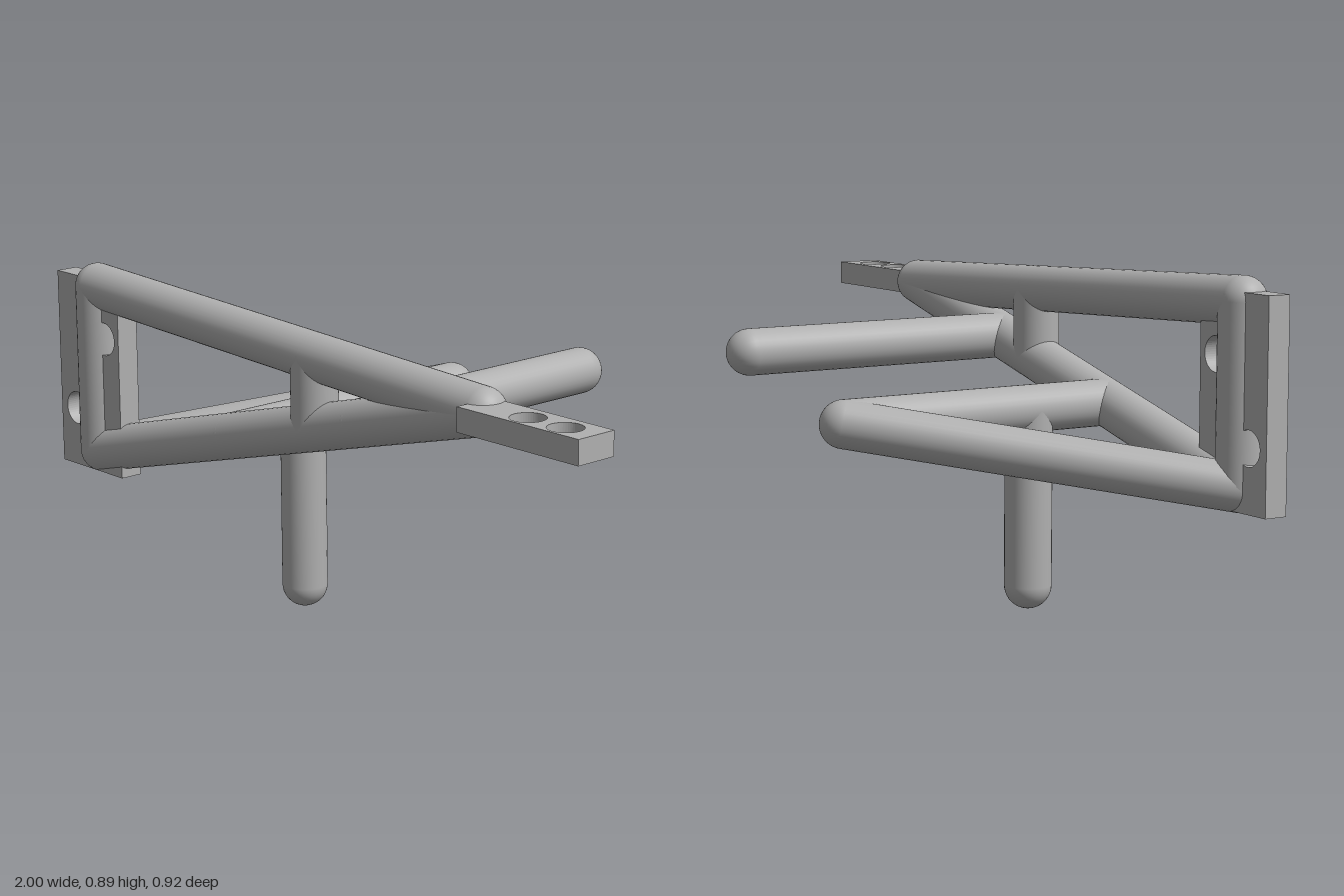
import * as THREE from 'three';

const RADIUS = 0.061;

export function createModel() {
  const group = new THREE.Group();
  const steel = new THREE.MeshStandardMaterial({ color: 0xb0b0b0 });
  steel.name = 'grey steel';

  const point = (x, y, z) => new THREE.Vector3(x, y, z);

  // Round-ended tube between two axis points
  function addTube(name, a, b) {
    const dir = b.clone().sub(a);
    const mesh = new THREE.Mesh(new THREE.CapsuleGeometry(RADIUS, dir.length(), 10, 32), steel);
    mesh.position.copy(a).add(b).multiplyScalar(0.5);
    mesh.quaternion.setFromUnitVectors(point(0, 1, 0), dir.normalize());
    mesh.name = name;
    group.add(mesh);
  }

  // Flat plate with round holes, drawn in its own plane and extruded
  function addPlate(name, x0, y0, x1, y1, depth, holes, radius) {
    const shape = new THREE.Shape();
    shape.moveTo(x0, y0).lineTo(x1, y0).lineTo(x1, y1).lineTo(x0, y1).closePath();
    for (const [x, y] of holes) {
      shape.holes.push(new THREE.Path().absarc(x, y, radius, 0, Math.PI * 2, true));
    }
    const geometry = new THREE.ExtrudeGeometry(shape, { depth, bevelEnabled: false, curveSegments: 24 });
    const mesh = new THREE.Mesh(geometry, steel);
    mesh.name = name;
    group.add(mesh);
    return mesh;
  }

  // Triangular main frame
  const top = point(-0.86, 0.826, 0.387);
  const bottom = point(-0.86, 0.369, 0.387);
  const tip = point(0.605, 0.758, 0.373);
  const onLower = (x) => bottom.clone().lerp(tip, (x - bottom.x) / (tip.x - bottom.x));
  const onUpper = (x) => top.clone().lerp(tip, (x - top.x) / (tip.x - top.x));
  addTube('uprightTube', bottom, top);
  addTube('upperTube', top, tip);
  addTube('lowerTube', bottom, tip);
  addTube('shortStrut', onLower(0.015), onUpper(0.015));

  // Two pegs running back, with a diagonal brace and a hanging leg
  const pegs = [['rightPeg', -0.305], ['leftPeg', 0.18]];
  const ends = pegs.map(([name, x]) => {
    const start = onLower(x);
    const end = point(x, start.y, -0.4);
    addTube(name, start, end);
    return end;
  });
  addTube('diagonalBrace', bottom, ends[0]);
  addTube('leg', point(-0.305, 0.061, 0.142), point(-0.305, ends[0].y, 0.142));

  // Upright mounting plate
  addPlate('uprightPlate', -1, 0.316, -0.737, 0.85, 0.063,
    [[-0.8, 0.692], [-0.93, 0.477]], 0.045).position.z = 0.355;

  // Level mounting plate at the tip, laid flat
  const tab = addPlate('levelPlate', 0.61, 0.345, 1, 0.461, 0.062,
    [[0.791, 0.409], [0.91, 0.409]], 0.044);
  tab.rotation.x = Math.PI / 2;
  tab.position.y = 0.786;

  return group;
}
